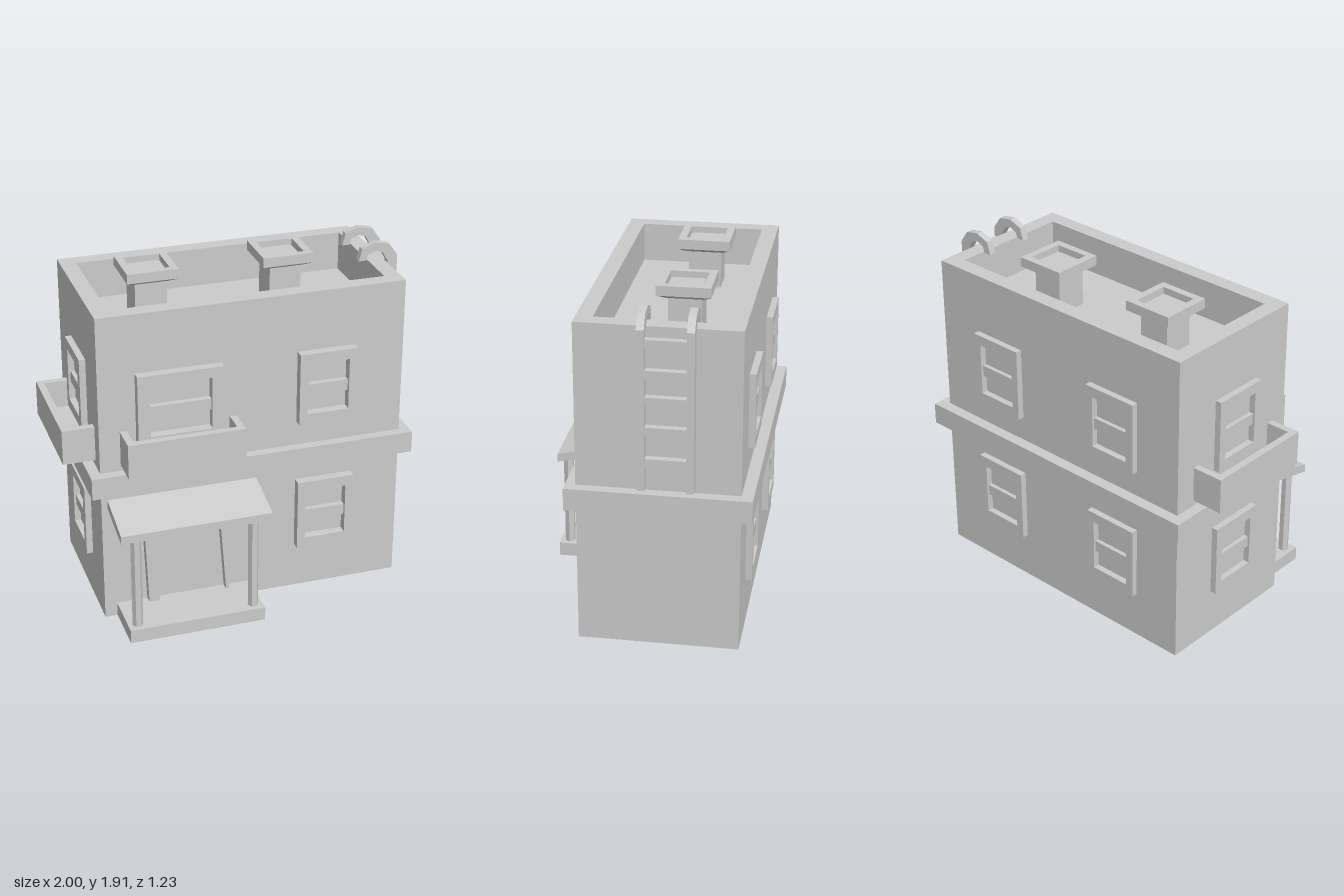
import * as THREE from 'three';

const material = new THREE.MeshStandardMaterial({ color: 0xcccccc, flatShading: true });

function add(parent, geometry, name) {
  const mesh = new THREE.Mesh(geometry, material);
  mesh.name = name;
  parent.add(mesh);
  return mesh;
}

// Box given by its limits on each axis
function box(parent, name, [x0, x1], [y0, y1], [z0, z1]) {
  const mesh = add(parent, new THREE.BoxGeometry(x1 - x0, y1 - y0, z1 - z0), name);
  mesh.position.set((x0 + x1) / 2, (y0 + y1) / 2, (z0 + z1) / 2);
  return mesh;
}

const points = (list) => list.map(([x, y]) => new THREE.Vector2(x, y));
const rect = (x0, x1, y0, y1) => points([[x0, y0], [x1, y0], [x1, y1], [x0, y1]]);

// Straight extrusion of an outline with optional holes, along +z
function prism(outline, depth, holes = []) {
  const shape = new THREE.Shape(outline);
  holes.forEach((hole) => shape.holes.push(new THREE.Path(hole)));
  return new THREE.ExtrudeGeometry(shape, { depth, bevelEnabled: false });
}

// Horizontal rectangular ring between two heights
function ring(parent, name, [x0, x1], [z0, z1], [y0, y1], t) {
  const geometry = prism(rect(x0, x1, -z1, -z0), y1 - y0, [rect(x0 + t, x1 - t, -z1 + t, -z0 - t)]);
  geometry.rotateX(-Math.PI / 2).translate(0, y0, 0);
  return add(parent, geometry, name);
}

// Sash window: raised frame with a middle bar, facing +z before rotation
function sashWindow(parent, name, x, y, z, width, depth, turn = 0) {
  const group = new THREE.Group();
  group.name = name;
  const w = width / 2, iw = w * 0.72, h = 0.21, ih = 0.15;
  add(group, prism(rect(-w, w, -h, h), depth, [rect(-iw, iw, -ih, ih)]), 'windowFrame');
  box(group, 'windowBar', [-iw, iw], [-0.045, 0.02], [0, depth * 0.65]);
  group.position.set(x, y, z);
  group.rotation.y = turn;
  parent.add(group);
}

// Open-topped balcony projecting along +z before rotation
function balcony(parent, name, x, z, width, depth, turn = 0) {
  const group = new THREE.Group();
  group.name = name;
  const w = width / 2, t = 0.04;
  const outline = points([
    [-w, 0], [-w, -depth], [w, -depth], [w, 0],
    [w - t, 0], [w - t, t - depth], [t - w, t - depth], [t - w, 0],
  ]);
  add(group, prism(outline, 0.2).rotateX(-Math.PI / 2), 'balconyWall');
  box(group, 'balconyFloor', [t - w, w - t], [0, 0.04], [0, depth - t]);
  group.position.set(x, 0.95, z);
  group.rotation.y = turn;
  parent.add(group);
}

// Square chimney with a flared, hollow cap
function chimney(parent, x, z) {
  const group = new THREE.Group();
  group.name = 'chimney';
  box(group, 'chimneyStem', [-0.09, 0.09], [1.6, 1.86], [-0.09, 0.09]);
  const flare = new THREE.CylinderGeometry(0.145 * Math.SQRT2, 0.1 * Math.SQRT2, 0.025, 4);
  add(group, flare.rotateY(Math.PI / 4), 'chimneyFlare').position.y = 1.8225;
  ring(group, 'chimneyCap', [-0.145, 0.145], [-0.145, 0.145], [1.835, 1.89], 0.042);
  box(group, 'chimneyCapFloor', [-0.11, 0.11], [1.835, 1.85], [-0.11, 0.11]);
  group.position.set(x, 0, z);
  parent.add(group);
}

function porch(parent) {
  const group = new THREE.Group();
  group.name = 'porch';
  box(group, 'porchStep', [-0.75, 0.025], [0, 0.08], [0.31, 0.615]);

  // Sloping canopy, drawn in side profile and swept along x
  const profile = points([[-0.32, 0.69], [-0.605, 0.628], [-0.605, 0.675], [-0.32, 0.745]]);
  add(group, prism(profile, 0.85).rotateY(Math.PI / 2), 'canopy').position.x = -0.785;

  // Hexagonal posts
  for (const x of [-0.695, -0.03]) {
    const post = new THREE.CylinderGeometry(0.03, 0.03, 0.57, 6).rotateY(Math.PI / 2);
    add(group, post, 'porchPost').position.set(x, 0.36, 0.56);
  }

  // Tapered doorway surround
  const surround = points([
    [-0.575, 0.08], [-0.515, 0.08], [-0.53, 0.605], [-0.163, 0.605],
    [-0.125, 0.08], [-0.108, 0.08], [-0.09, 0.66], [-0.598, 0.66],
  ]);
  add(group, prism(surround, 0.045), 'doorSurround').position.z = 0.32;
  parent.add(group);
}

function ladder(parent) {
  const group = new THREE.Group();
  group.name = 'ladder';
  // Rails hooked over the parapet
  const rail = points([
    [0.943, 0.95], [1, 0.95], [1, 1.83], [0.95, 1.9], [0.867, 1.915], [0.79, 1.885], [0.77, 1.815],
    [0.815, 1.815], [0.825, 1.848], [0.867, 1.867], [0.91, 1.855], [0.943, 1.8],
  ]);
  for (const z of [-0.06, -0.315]) {
    add(group, prism(rail, 0.04), 'ladderRail').position.z = z;
  }
  for (const y of [1.105, 1.28, 1.445, 1.59, 1.755]) {
    box(group, 'ladderRung', [0.95, 0.99], [y - 0.022, y + 0.022], [-0.28, -0.055]);
  }
  parent.add(group);
}

export function createModel() {
  const model = new THREE.Group();
  model.name = 'house';

  // Main block, roof parapet and the band between storeys
  box(model, 'walls', [-0.82, 0.91], [0, 1.6], [-0.55, 0.32]);
  ring(model, 'parapet', [-0.82, 0.91], [-0.55, 0.32], [1.6, 1.82], 0.09);
  box(model, 'storeyBand', [-0.88, 0.97], [0.79, 0.915], [-0.615, 0.375]);

  // Windows on both storeys
  for (const y of [0.485, 1.27]) {
    sashWindow(model, 'frontWindow', 0.46, y, 0.32, 0.33, 0.052);
    sashWindow(model, 'leftBackWindow', 0.47, y, -0.55, 0.33, 0.036, Math.PI);
    sashWindow(model, 'rightBackWindow', -0.372, y, -0.55, 0.33, 0.036, Math.PI);
    sashWindow(model, 'sideWindow', -0.82, y, -0.097, 0.33, 0.036, -Math.PI / 2);
  }
  sashWindow(model, 'balconyWindow', -0.375, 1.27, 0.32, 0.48, 0.052);

  balcony(model, 'frontBalcony', -0.377, 0.32, 0.655, 0.17);
  balcony(model, 'sideBalcony', -0.82, -0.1, 0.65, 0.18, -Math.PI / 2);

  chimney(model, -0.405, -0.185);
  chimney(model, 0.365, -0.185);
  porch(model);
  ladder(model);
  return model;
}
